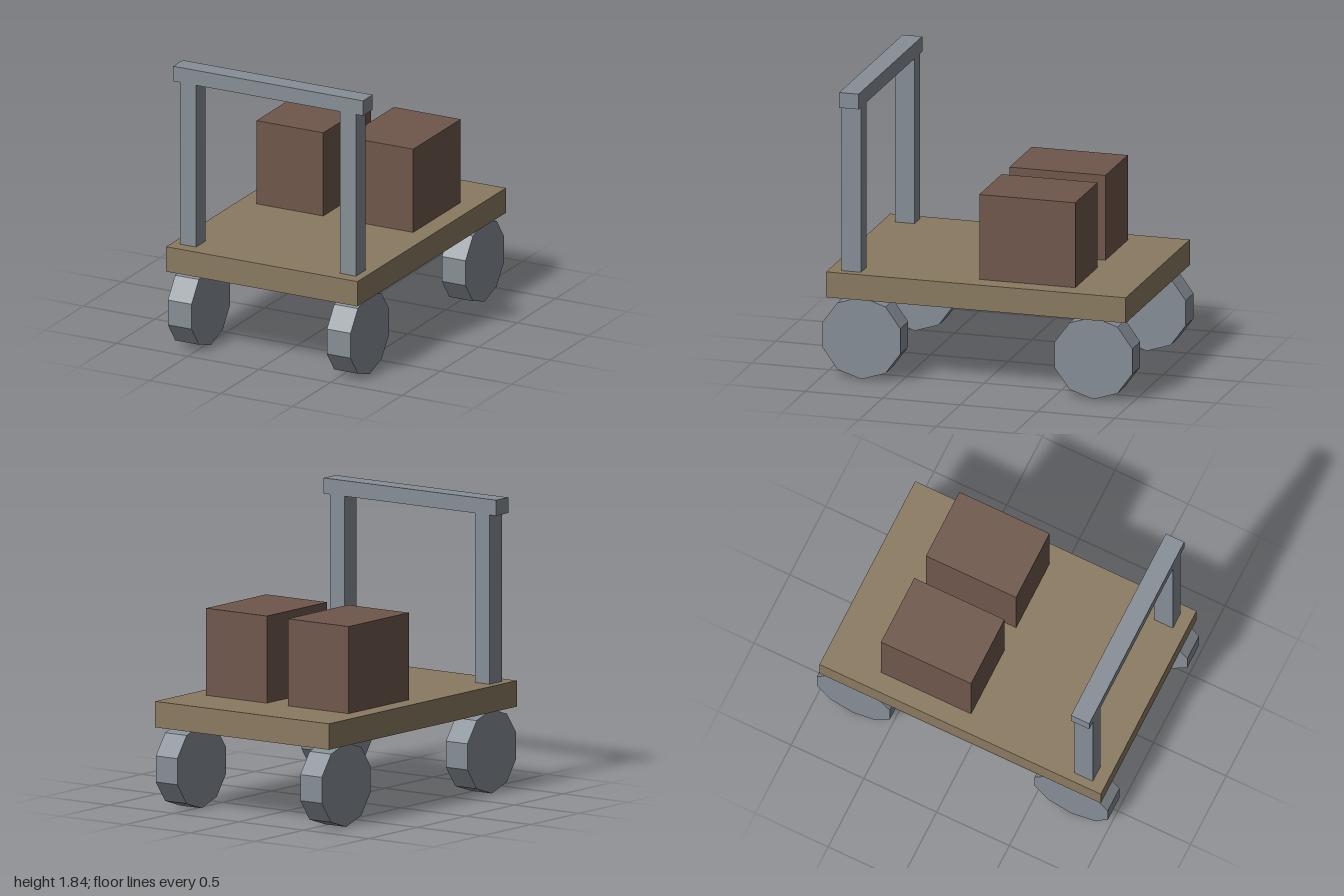
import * as THREE from 'three';

export function createModel() {
  const cart = new THREE.Group();
  cart.name = 'platformCart';

  const makeMaterial = (name, color) => {
    const m = new THREE.MeshStandardMaterial({ color, flatShading: true });
    m.name = name;
    return m;
  };
  const wood = makeMaterial('wood', 0x8a7a61);
  const crateBrown = makeMaterial('crateBrown', 0x6f574b);
  const steel = makeMaterial('steel', 0x868e96);

  const add = (name, geometry, material, x, y, z) => {
    const mesh = new THREE.Mesh(geometry, material);
    mesh.name = name;
    mesh.position.set(x, y, z);
    cart.add(mesh);
  };

  // Flat load bed
  add('deck', new THREE.BoxGeometry(1.34, 0.163, 1.934), wood, 0, 0.598, 0);

  // Push handle crossbar
  add('handleBar', new THREE.BoxGeometry(1.33, 0.098, 0.126), steel, 0, 1.789, 0.822);

  // Ten-sided wheels turned onto the x axis, one corner pointing down
  const wheel = new THREE.CylinderGeometry(0.264, 0.264, 0.166, 10, 1, false, Math.PI / 2);
  wheel.rotateZ(Math.PI / 2);
  const post = new THREE.BoxGeometry(0.111, 1.062, 0.126);
  const crate = new THREE.BoxGeometry(0.468, 0.546, 0.62);

  for (const [side, s] of [['left', 1], ['right', -1]]) {
    add(side + 'HandlePost', post, steel, s * 0.56, 1.21, 0.822);
    add(side + 'Crate', crate, crateBrown, s * 0.315, 0.952, -0.294);
    add(side + 'FrontWheel', wheel, steel, s * 0.557, 0.264, 0.749);
    add(side + 'BackWheel', wheel, steel, s * 0.557, 0.264, -0.749);
  }

  return cart;
}
